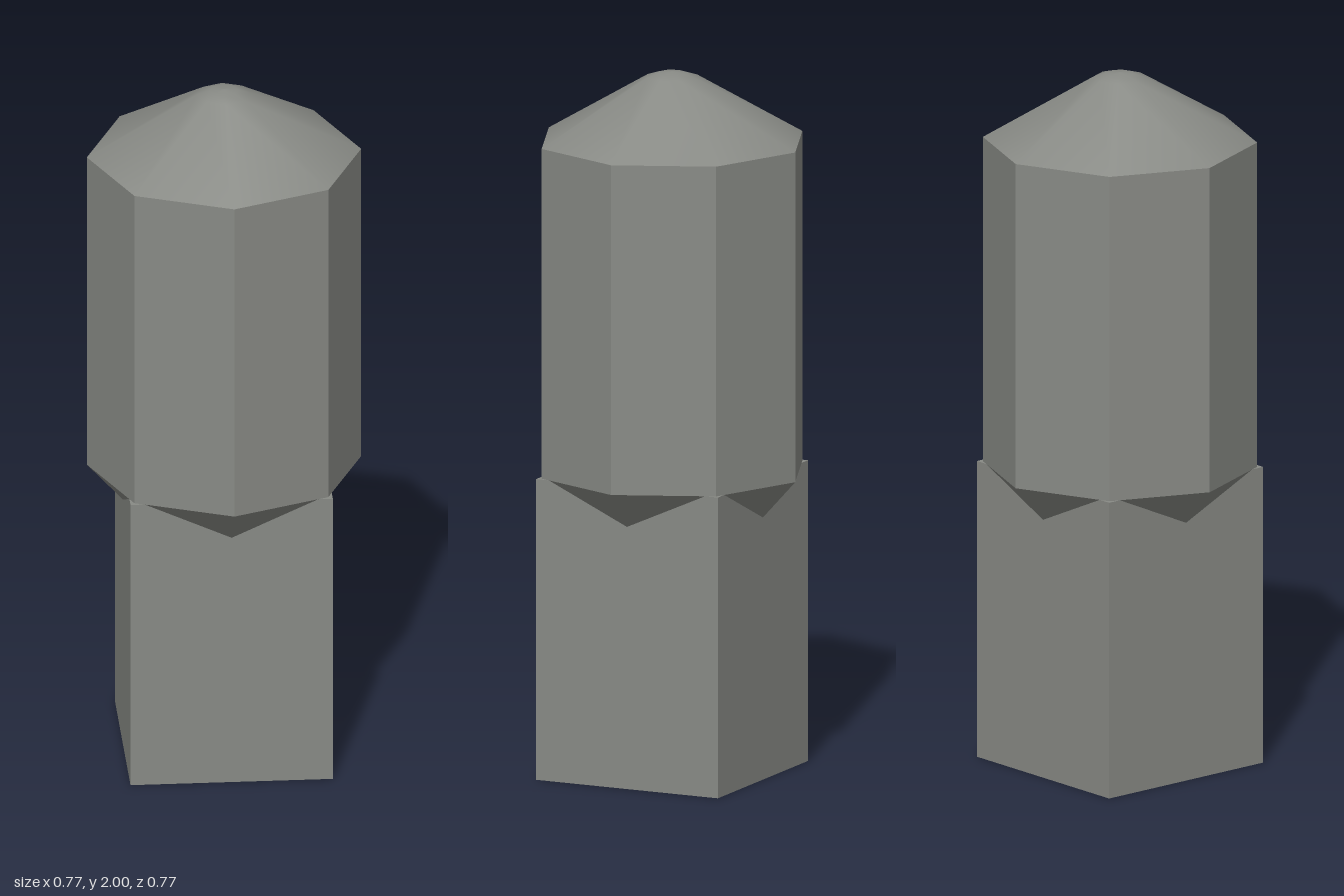
import * as THREE from 'three';

const SIDES = 8, RADIUS = 0.385, HALF = 0.284, SHOULDER = 0.86, EAVES = 1.803;

export function createModel() {
  const model = new THREE.Group();
  model.name = 'post';
  const grey = new THREE.MeshStandardMaterial({ color: 0x888a85 });
  grey.name = 'warm grey';

  const add = (name, geometry, y = 0) => {
    const mesh = new THREE.Mesh(geometry, grey);
    mesh.name = name;
    mesh.position.y = y;
    model.add(mesh);
  };
  // eight-sided turned part with smooth normals, profile from bottom to top
  const turned = (points) =>
    new THREE.LatheGeometry(points.map(([r, y]) => new THREE.Vector2(r, y)), SIDES);

  // square base
  add('squareBase', new THREE.BoxGeometry(HALF * 2, SHOULDER, HALF * 2), SHOULDER / 2);

  // tapered underside that dies into the faces of the base
  add('shoulderTaper', turned([[0.2, 0.658], [RADIUS, SHOULDER]]));

  // octagonal shaft with flat faces and corners on the axes
  const shaft = new THREE.CylinderGeometry(
    RADIUS, RADIUS, EAVES - SHOULDER, SIDES, 1, true).toNonIndexed();
  shaft.computeVertexNormals();
  add('octagonalShaft', shaft, (EAVES + SHOULDER) / 2);

  // conical cap with a softly rounded tip
  add('roundedCap', turned([[RADIUS, EAVES], [0.075, 1.985], [0.04, 1.996], [0, 2]]));

  return model;
}
